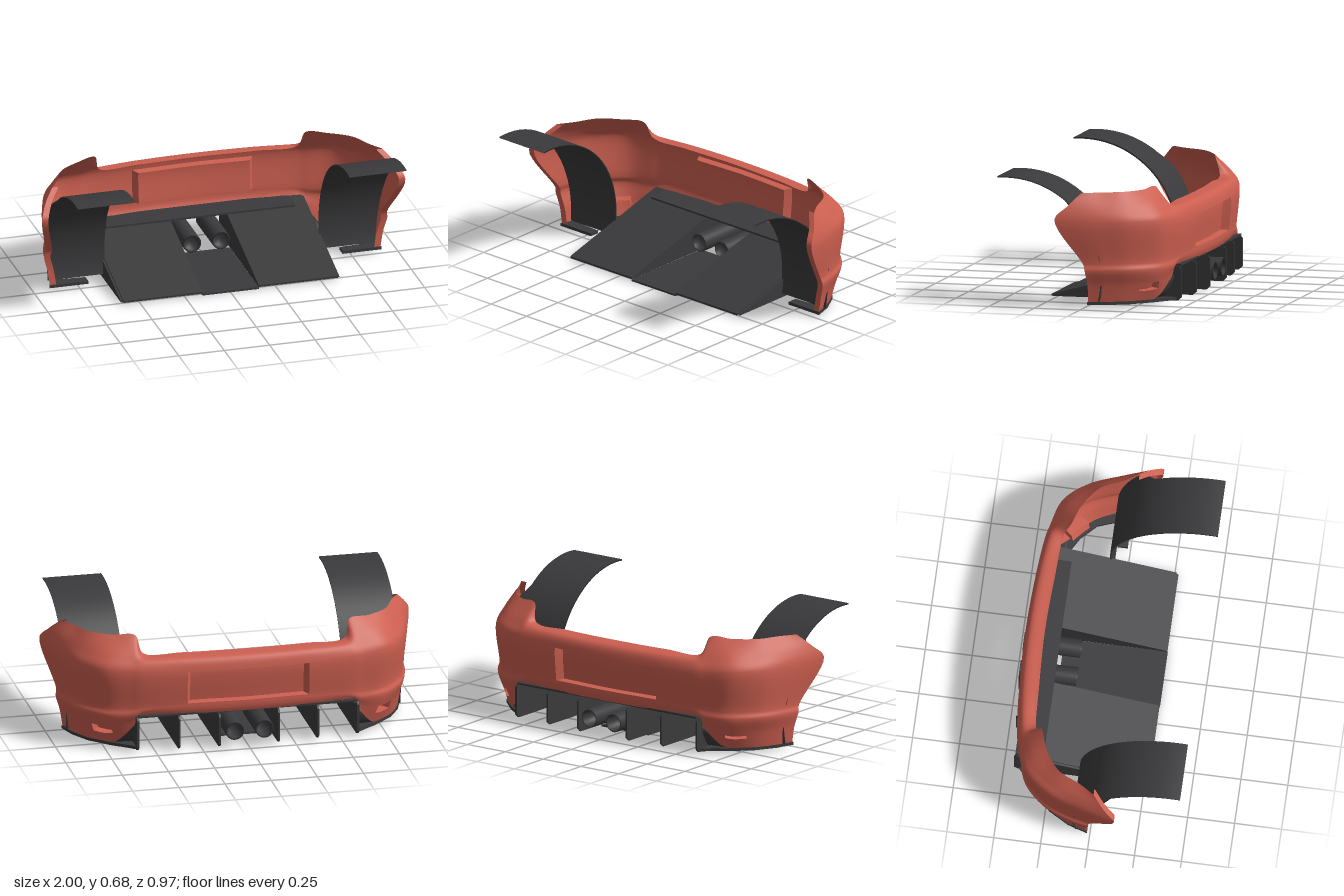
import * as THREE from 'three';

const red = new THREE.MeshStandardMaterial({ color: 0xcc5f50, side: THREE.DoubleSide });
const dark = new THREE.MeshStandardMaterial({ color: 0x3a3a3c, side: THREE.DoubleSide });

// Half bumper: vertical profiles from near the middle round to the wheel arch, each bottom to top
const half = [
  [[.33, .2, -.435], [.33, .22, -.442], [.33, .24, -.445], [.33, .26, -.445], [.33, .44, -.456], [.33, .503, -.43], [.33, .515, -.35]],
  [[.56, .195, -.41], [.56, .21, -.415], [.56, .225, -.42], [.56, .25, -.42], [.56, .45, -.432], [.555, .505, -.4], [.545, .522, -.335]],
  [[.62, .12, -.385], [.62, .16, -.395], [.62, .205, -.41], [.62, .24, -.405], [.62, .45, -.418], [.61, .51, -.385], [.58, .613, -.3]],
  [[.7, .035, -.33], [.73, .12, -.35], [.75, .2, -.365], [.742, .235, -.36], [.765, .46, -.37], [.74, .52, -.34], [.69, .61, -.26]],
  [[.82, .03, -.22], [.84, .12, -.235], [.865, .2, -.245], [.857, .235, -.24], [.872, .46, -.245], [.845, .525, -.22], [.8, .61, -.18]],
  [[.875, .03, -.12], [.895, .12, -.12], [.918, .2, -.12], [.91, .235, -.12], [.935, .46, -.08], [.91, .53, -.08], [.86, .61, -.06]],
  [[.91, .03, -.02], [.925, .12, -.02], [.945, .2, -.01], [.94, .235, 0], [1, .475, .14], [.965, .545, .08], [.91, .61, .02]],
];
const centre = half[0].map(([, y, z]) => [0, y, z - .012]);
const mirrored = half.map(s => s.map(([x, y, z]) => [-x, y, z])).reverse();
const stations = [...mirrored, centre, ...half];
const rows = centre.map((_, r) =>
  new THREE.CatmullRomCurve3(stations.map(s => new THREE.Vector3(...s[r]))));

// Skin grid: i from -NU to NU across, j from 0 to NV upwards
const NU = 84, NV = 48;
const columns = [];
for (let i = -NU; i <= NU; i++) {
  const profile = new THREE.CatmullRomCurve3(rows.map(c => c.getPoint((i + NU) / (2 * NU))));
  columns.push(Array.from({ length: NV + 1 }, (_, j) => profile.getPoint(j / NV)));
}
const skin = (i, j) => columns[i + NU][j].clone();

function add(parent, name, geometry, material) {
  const mesh = new THREE.Mesh(geometry, material);
  mesh.name = name;
  parent.add(mesh);
  return mesh;
}

// Smooth grid of points, optionally leaving out cells
function patch(fn, i0, i1, j0, j1, skip = () => false) {
  const pos = [], idx = [], n = j1 - j0 + 1;
  for (let i = i0; i <= i1; i++)
    for (let j = j0; j <= j1; j++) pos.push(...fn(i, j).toArray());
  for (let i = i0; i < i1; i++)
    for (let j = j0; j < j1; j++) {
      if (skip(i, j)) continue;
      const a = (i - i0) * n + j - j0, b = a + n;
      idx.push(a, a + 1, b, b, a + 1, b + 1);
    }
  const g = new THREE.BufferGeometry();
  g.setAttribute('position', new THREE.Float32BufferAttribute(pos, 3));
  g.setIndex(idx);
  g.computeVertexNormals();
  return g;
}

// Recess in the skin: a sunken floor and four walls
function pocket(parent, name, [i0, i1, j0, j1], sink) {
  const g = new THREE.Group();
  g.name = name;
  add(g, name + 'Floor', patch((i, j) => sink(skin(i, j)), i0, i1, j0, j1), red);
  const wall = p => (k => k ? sink(p) : p);
  for (const j of [j0, j1])
    add(g, name + 'Ledge', patch((i, k) => wall(skin(i, j))(k), i0, i1, 0, 1), red);
  for (const i of [i0, i1])
    add(g, name + 'Cheek', patch((j, k) => wall(skin(i, j))(k), j0, j1, 0, 1), red);
  parent.add(g);
}

// Plate drawn as (z, y) points and extruded along x
function sidePlate(points, x, width) {
  const shape = new THREE.Shape(points.map(p => new THREE.Vector2(...p)));
  return new THREE.ExtrudeGeometry(shape, { depth: width, bevelEnabled: false })
    .rotateY(-Math.PI / 2).translate(x + width / 2, 0, 0);
}

// Curved wheel liner, flaring outwards where it meets the arch
function liner(side) {
  const N = 40, R = .525;
  const at = (i, r) => {
    const a = Math.PI / 2 + .097 - .193 * 1 + (i / N) * (Math.PI / 2 + .34);
    return [.16 + r * Math.sin(a), .43 + r * Math.cos(a)];
  };
  const outer = y => .905 + .045 * (y > .5 ? Math.max(0, 1 - (y - .5) / .07) : Math.max(0, (y - .12) / .38));
  return patch((i, k) => {
    const [y, z] = at(i, k === 1 || k === 2 ? R - .008 : R);
    const bulge = z < .1 ? outer(y) : .905;
    return new THREE.Vector3(side * (k === 0 || k === 1 || k === 4 ? .59 : bulge), y, z);
  }, 0, N, 0, 4);
}

export function createModel() {
  const model = new THREE.Group();
  model.name = 'rearBumperAssembly';

  // Painted bumper with plate recess and corner vents
  const bumper = new THREE.Group();
  bumper.name = 'bumper';
  model.add(bumper);
  const plate = [-12, 12, 24, 32];
  const vents = [[47, 56, 5, 9], [-56, -47, 5, 9]];
  const inside = (i, j) => [plate, ...vents].some(([a, b, c, d]) => i >= a && i < b && j >= c && j < d);
  add(bumper, 'bumperSkin', patch(skin, -NU, NU, 0, NV, inside), red);
  pocket(bumper, 'plateRecess', plate, p => new THREE.Vector3(p.x * .93, .35 + (p.y - .35) * .95, p.z + .04));
  for (const v of vents)
    pocket(bumper, 'cornerVent', v, p => new THREE.Vector3(p.x - Math.sign(p.x) * .035, p.y, p.z + .045));
  for (const s of [-1, 1]) // turned-in arch edge
    add(bumper, 'archFlange', patch((j, k) => {
      const p = skin(s * NU, j);
      p.x -= k * s * .035;
      return p;
    }, 0, NV, 0, 1), red);

  // Diffuser
  const diffuser = new THREE.Group();
  diffuser.name = 'diffuser';
  model.add(diffuser);
  add(diffuser, 'centreFloor', new THREE.BoxGeometry(.31, .01, .55), dark).position.set(0, .005, -.003);
  add(diffuser, 'topBar', new THREE.BoxGeometry(1.04, .01, .15), dark).position.set(0, .2, -.365);
  const rampY = z => Math.min(.2, .01 + .28 * (.27 - z));
  const fence = (front, back) => [[front, .01], [back + .02, .012], [back, .03], [back, .18],
    [back + .012, .195], [-.41, .198], [front, rampY(front) + .002]];
  for (const s of [-1, 1]) {
    add(diffuser, 'ramp', sidePlate([[.27, .01], [-.41, .195], [-.44, .195], [-.44, .205],
      [-.41, .205], [.27, .02]], s * .3725, .435), dark);
    add(diffuser, 'innerFence', sidePlate(fence(.26, -.48), s * .16, .01), dark);
    add(diffuser, 'middleFence', sidePlate(fence(.1, -.465), s * .375, .01), dark);
    add(diffuser, 'outerFence', sidePlate(fence(.26, -.445), s * .595, .012), dark);

    // Exhaust pipe with a plug inside
    const pipe = new THREE.LatheGeometry([[0, .04], [.042, .04], [.042, 0], [.05, 0], [.05, .305],
      [.042, .305], [.042, .22], [0, .22]].map(p => new THREE.Vector2(...p)), 32);
    add(model, 'exhaustPipe', pipe.toNonIndexed().rotateX(-Math.PI / 2), dark).position.set(s * .08, .1, -.18);
    add(model, 'wheelLiner', liner(s), dark);

    // Lip below the bumper corner
    const lip = new THREE.Shape();
    [[.6, -.42], [.66, -.37], [.71, -.335], [.82, -.228], [.882, -.12], [.915, -.015], [.7, -.015], [.7, -.07],
      [.84, -.08], [.8, -.19], [.72, -.27], [.6, -.34]].forEach(([x, z], i) =>
      i ? lip.lineTo(s * x, -z) : lip.moveTo(s * x, -z));
    add(model, 'cornerLip', new THREE.ExtrudeGeometry(lip, { depth: .016, bevelEnabled: false })
      .rotateX(-Math.PI / 2).translate(0, .015, 0), dark);
    // Dark trim joining the lip to the diffuser side
    add(model, 'openingTrim', patch((i, k) => {
      const p = skin(s * i, 0);
      return k ? new THREE.Vector3(s * .6, Math.max(.02, p.y), p.z - .015) : p;
    }, 28, 48, 0, 1), dark);
  }
  return model;
}
